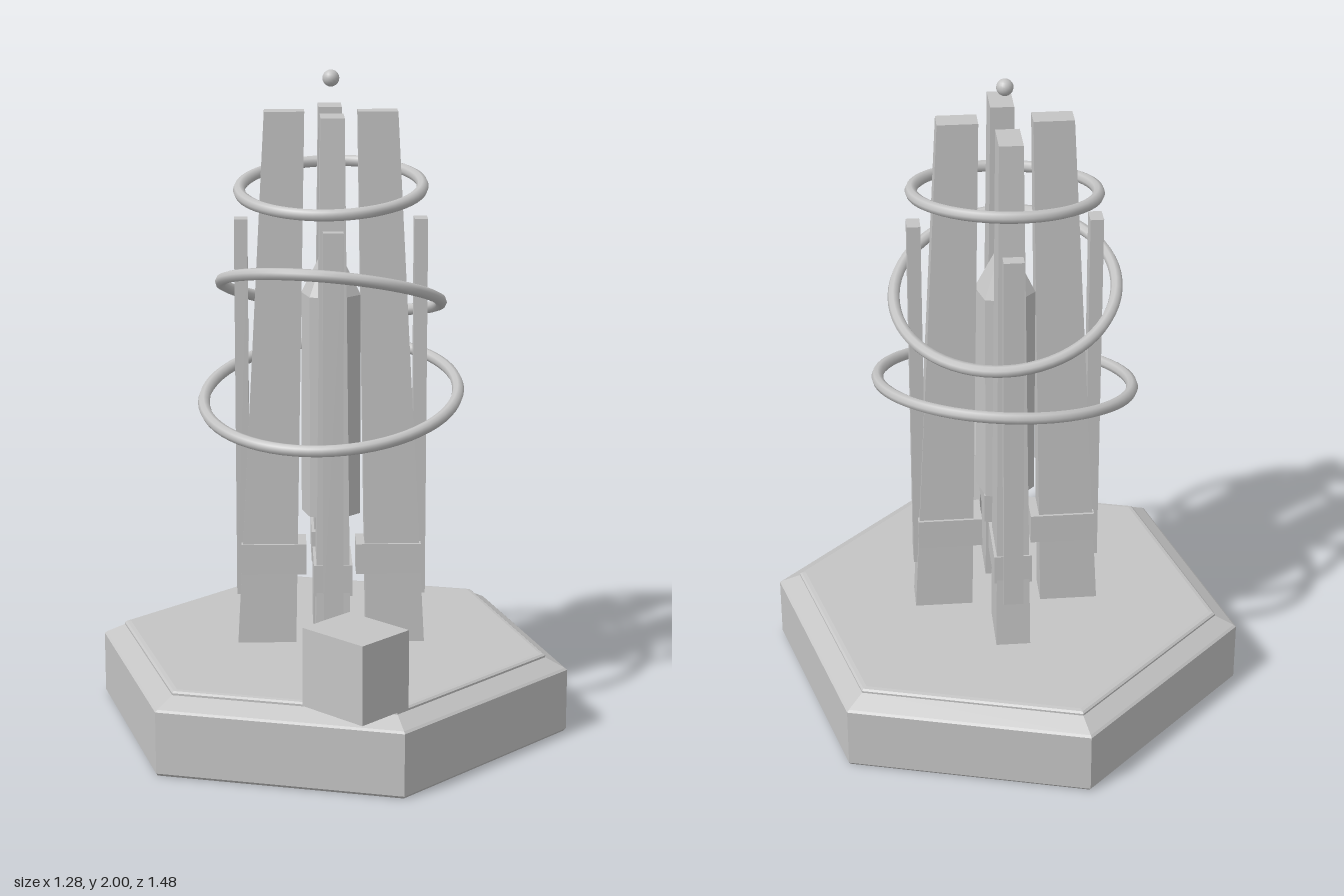
import * as THREE from 'three';

const grey = new THREE.MeshStandardMaterial({ color: 0xc4c4c4 });
grey.name = 'stone grey';

function part(name, geometry, x = 0, y = 0, z = 0) {
  const mesh = new THREE.Mesh(geometry, grey);
  mesh.name = name;
  mesh.position.set(x, y, z);
  return mesh;
}

// Crisp facets on a geometry with shared vertices
function faceted(geometry) {
  const flat = geometry.toNonIndexed();
  flat.computeVertexNormals();
  return flat;
}

// Six-sided solid from a [radius, height] profile, corners at front and back
function hexSolid(profile) {
  const points = profile.map(([r, y]) => new THREE.Vector2(r, y));
  return faceted(new THREE.LatheGeometry(points, 6));
}

// Box between two rectangles; each is given by width, inner and outer radius
function taperedBox(y0, y1, bottom, top) {
  const geometry = new THREE.BoxGeometry(1, 1, 1);
  const p = geometry.attributes.position;
  for (let i = 0; i < p.count; i++) {
    const up = p.getY(i) > 0;
    const [width, inner, outer] = up ? top : bottom;
    p.setXYZ(i, p.getX(i) * width, up ? y1 : y0, p.getZ(i) > 0 ? outer : inner);
  }
  geometry.computeVertexNormals();
  return geometry;
}

export function createModel() {
  const model = new THREE.Group();
  model.name = 'ringedTower';

  // Base with sloping rim and a thin raised floor
  model.add(part('base', hexSolid([
    [0, 0], [0.733, 0], [0.74, 0.008], [0.74, 0.197], [0.732, 0.203], [0.672, 0.232], [0, 0.232],
  ])));
  model.add(part('floor', hexSolid([
    [0.672, 0.225], [0.672, 0.238], [0.665, 0.243], [0.652, 0.245], [0, 0.245],
  ])));

  // Four leaning pillars on the diagonals, each with an upright fin and a collar
  const pillar = taperedBox(0.235, 1.88, [0.105, 0.108, 0.287], [0.07, 0.079, 0.198]);
  const fin = taperedBox(0.395, 1.56, [0.06, 0.249, 0.289], [0.06, 0.249, 0.289]);
  const collar = taperedBox(0.465, 0.56, [0.115, 0.076, 0.274], [0.115, 0.076, 0.274]);
  for (let i = 0; i < 4; i++) {
    const corner = new THREE.Group();
    corner.name = 'pillarGroup';
    corner.rotation.y = Math.PI / 4 + i * Math.PI / 2;
    corner.add(part('pillar', pillar), part('fin', fin), part('collar', collar));
    model.add(corner);
  }

  // Hanging crystal and the bead over the tower
  model.add(part('crystal', hexSolid([[0, 0.65], [0.092, 0.65], [0.092, 1.33], [0, 1.51]])));
  model.add(part('bead', new THREE.SphereGeometry(0.025, 16, 12), 0, 1.975, 0));

  // Tilted rings: radius, height, rise along x, rise along z
  const up = new THREE.Vector3(0, 0, 1);
  for (const [radius, y, riseX, riseZ] of [
    [0.386, 1.022, -0.11, -0.2],
    [0.332, 1.333, 0.16, 0.31],
    [0.273, 1.652, -0.09, -0.13],
  ]) {
    const ring = part('ring', new THREE.TorusGeometry(radius, 0.018, 8, 64), 0, y, 0);
    ring.quaternion.setFromUnitVectors(up, new THREE.Vector3(-riseX, 1, -riseZ).normalize());
    model.add(ring);
  }

  // Control box on the rim with a small knob at its back
  model.add(part('controlBox', new THREE.BoxGeometry(0.234, 0.236, 0.195), 0.467, 0.357, 0.389));
  model.add(part('knob', new THREE.BoxGeometry(0.04, 0.032, 0.02), 0.467, 0.395, 0.289));

  return model;
}
